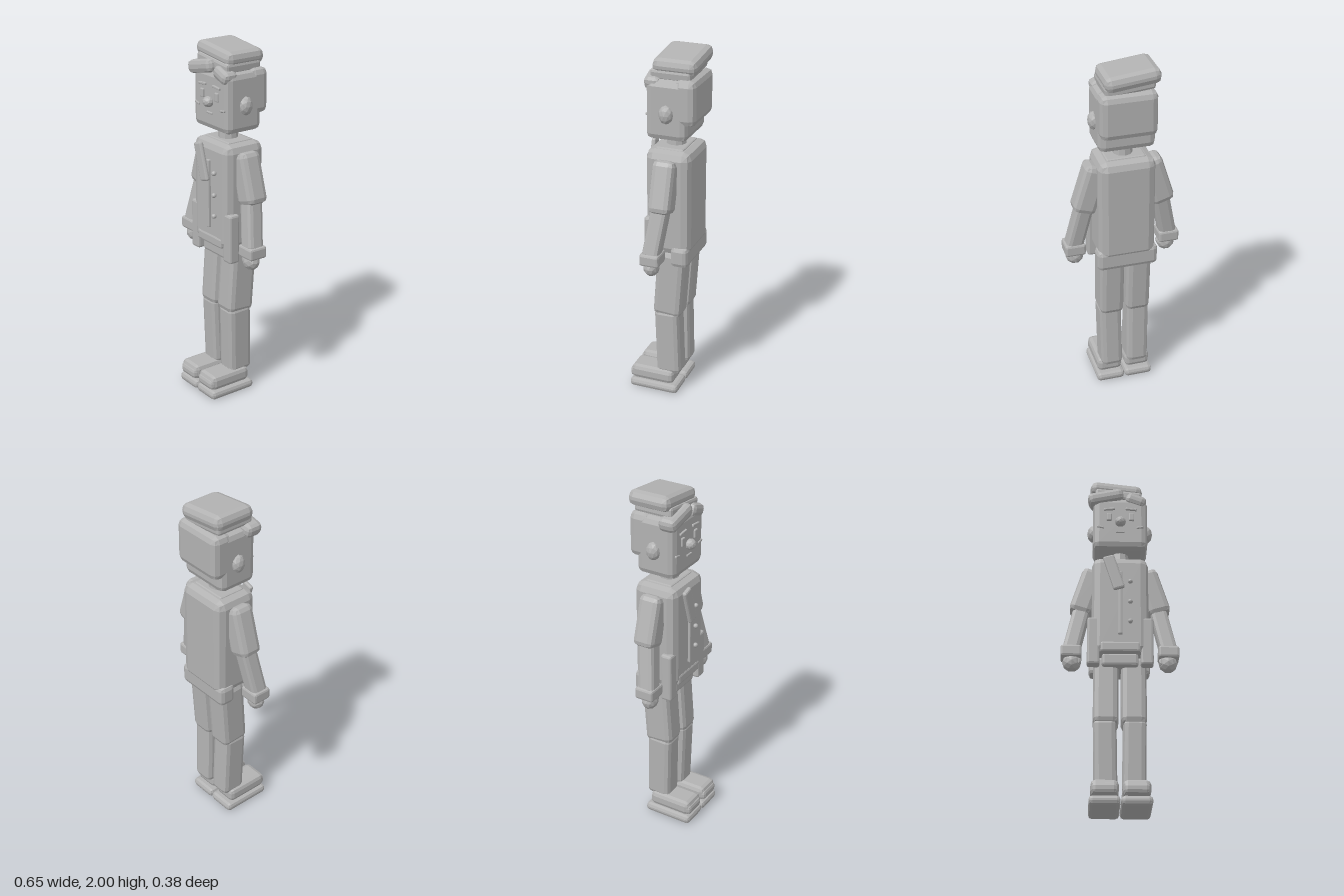
import * as THREE from 'three';
import { RoundedBoxGeometry } from 'three/addons/geometries/RoundedBoxGeometry.js';

const grey = new THREE.MeshStandardMaterial({ color: 0xb2b2b2, flatShading: true });
grey.name = 'plain grey';

export function createModel() {
  const model = new THREE.Group();
  model.name = 'figure';

  function add(name, geometry, pos, rot = [0, 0, 0]) {
    const mesh = new THREE.Mesh(geometry, grey);
    mesh.name = name;
    mesh.position.set(...pos);
    mesh.rotation.set(...rot);
    model.add(mesh);
    return mesh;
  }

  // Box with faceted bevelled edges
  function block(name, size, pos, rot, bevel = 0.02) {
    const r = Math.min(bevel, Math.min(...size) * 0.4);
    return add(name, new RoundedBoxGeometry(...size, 1, r), pos, rot);
  }

  // Faceted ellipsoid
  function ball(name, radii, pos, detail = 1) {
    const mesh = add(name, new THREE.IcosahedronGeometry(1, detail), pos);
    mesh.scale.set(...radii);
    return mesh;
  }

  // Limbs, mirrored for both sides
  for (const s of [1, -1]) {
    const side = s > 0 ? 'left' : 'right';

    // Shoes
    block(side + 'Sole', [0.163, 0.05, 0.29], [s * 0.083, 0.027, 0.045], undefined, 0.02);
    block(side + 'Shoe', [0.145, 0.085, 0.255], [s * 0.083, 0.097, 0.055], undefined, 0.025);
    block(side + 'ToeCap', [0.135, 0.06, 0.1], [s * 0.083, 0.09, 0.142], undefined, 0.02);

    // Legs
    block(side + 'Shin', [0.125, 0.41, 0.145], [s * 0.078, 0.32, -0.03], [0.03, 0, s * -0.015], 0.028);
    block(side + 'Thigh', [0.138, 0.4, 0.165], [s * 0.076, 0.69, -0.04], [-0.07, 0, 0], 0.03);

    // Arms
    block(side + 'Sleeve', [0.13, 0.285, 0.125], [s * 0.185, 1.297, -0.035], [0, 0, s * 0.3], 0.03);
    block(side + 'Forearm', [0.095, 0.3, 0.095], [s * 0.24, 1.06, -0.015], [-0.13, 0, s * 0.21], 0.022);
    block(side + 'Cuff', [0.115, 0.068, 0.11], [s * 0.268, 0.913, 0], undefined, 0.012);
    ball(side + 'Hand', [0.052, 0.052, 0.045], [s * 0.264, 0.856, 0.005]);
    ball(side + 'Thumb', [0.018, 0.026, 0.018], [s * 0.227, 0.858, 0.02], 0);

    // Coat flaps
    block(side + 'CoatFlap', [0.07, 0.28, 0.065], [s * 0.147, 0.96, 0.052], undefined, 0.012);

    // Ears and face details
    ball(side + 'Ear', [0.033, 0.052, 0.04], [s * 0.155, 1.69, -0.035]);
    block(side + 'Eye', [0.03, 0.048, 0.02], [s * 0.064, 1.735, 0.085], undefined, 0.005);
    block(side + 'Eyebrow', [0.065, 0.014, 0.02], [s * 0.062, 1.787, 0.085], [0, 0, s * -0.1], 0.004);
    block(side + 'CheekLine', [0.04, 0.013, 0.02], [s * 0.112, 1.67, 0.081], [0, 0, s * 0.2], 0.004);
  }

  // Coat
  block('torso', [0.315, 0.6, 0.255], [0, 1.18, -0.037], undefined, 0.045);
  block('shoulderYoke', [0.22, 0.03, 0.16], [0, 1.472, -0.035], undefined, 0.01);
  block('pelvis', [0.2, 0.075, 0.2], [0, 0.858, -0.035], undefined, 0.015);
  block('backHem', [0.34, 0.12, 0.1], [0, 0.88, -0.11], undefined, 0.025);
  block('frontHem', [0.22, 0.06, 0.04], [0, 0.92, 0.075], undefined, 0.012);
  block('placket', [0.025, 0.39, 0.022], [0, 1.185, 0.094], undefined, 0.006);
  block('scarfEnd', [0.066, 0.215, 0.025], [-0.037, 1.362, 0.114], [0, 0, 0.3], 0.01);
  for (const y of [1.315, 1.19, 1.07]) {
    ball('button', [0.014, 0.014, 0.014], [0.055, y, 0.1]);
  }

  // Neck and head
  add('neck', new THREE.CylinderGeometry(0.048, 0.058, 0.12, 10), [0, 1.51, -0.035]);
  block('head', [0.31, 0.33, 0.23], [0, 1.705, -0.03], undefined, 0.035);
  block('backHair', [0.31, 0.25, 0.12], [0, 1.753, -0.13], undefined, 0.035);
  ball('nose', [0.032, 0.03, 0.032], [0, 1.7, 0.095]);
  block('mouth', [0.05, 0.012, 0.018], [0, 1.638, 0.083], undefined, 0.004);

  // Fringe and cap
  block('rightFringe', [0.205, 0.073, 0.1], [-0.083, 1.873, 0.055], [0, 0, 0.22], 0.025);
  block('leftFringe', [0.12, 0.07, 0.09], [0.09, 1.855, 0.052], [0, 0, -0.35], 0.025);
  block('capBand', [0.27, 0.06, 0.225], [-0.01, 1.9, -0.045], [0, 0, -0.1], 0.015);
  block('capCrown', [0.3, 0.085, 0.245], [-0.022, 1.945, -0.062], [0, 0, -0.11], 0.034);

  return model;
}
